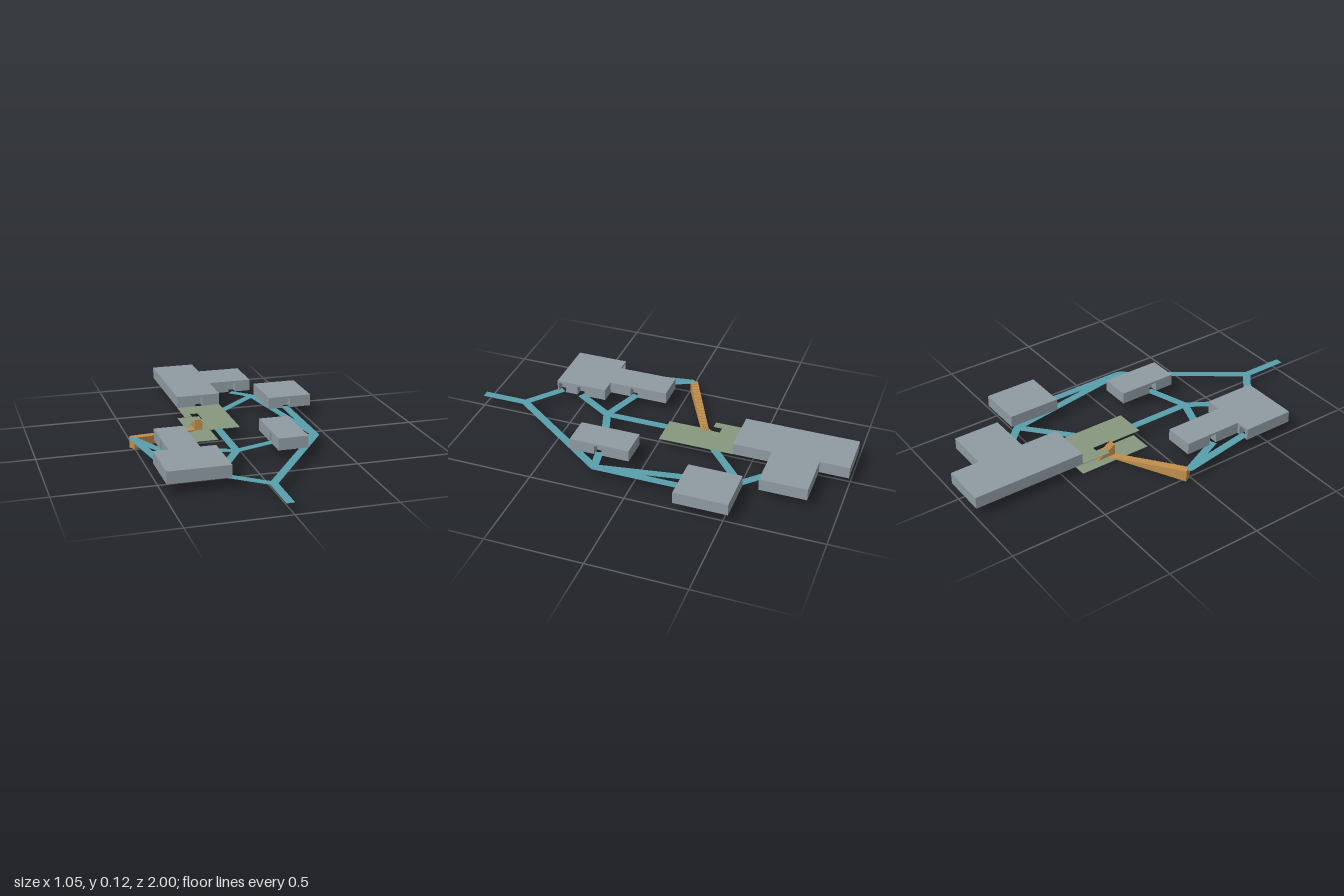
import * as THREE from 'three';

const LEVEL = 0.06, WALL = 0.05, ROOF = 0.012, PATH_W = 0.04, THIN = 0.002;

const mat = (name, color) => {
  const m = new THREE.MeshStandardMaterial({ color });
  m.name = name;
  return m;
};

// Extrudes a plan outline of [x, z] points upward from height y
function slab(points, y, height) {
  const shape = new THREE.Shape(points.map(([x, z]) => new THREE.Vector2(x, -z)));
  const geo = new THREE.ExtrudeGeometry(shape, { depth: height, bevelEnabled: false });
  return geo.rotateX(-Math.PI / 2).translate(0, y, 0);
}

const rect = (x0, x1, z0, z1) => [[x0, z1], [x1, z1], [x1, z0], [x0, z0]];

// Cuts a doorway recess into the outline wherever a door point lies on a wall
function withDoors(points, doors, width = 0.04, depth = 0.04) {
  const out = [];
  points.forEach(([ax, az], i) => {
    const [bx, bz] = points[(i + 1) % points.length];
    const len = Math.hypot(bx - ax, bz - az);
    const dx = (bx - ax) / len, dz = (bz - az) / len;
    out.push([ax, az]);
    doors
      .map(([x, z]) => ({
        t: (x - ax) * dx + (z - az) * dz,
        off: Math.abs((x - ax) * dz - (z - az) * dx),
      }))
      .filter(d => d.off < 0.001 && d.t > 0 && d.t < len)
      .sort((p, q) => p.t - q.t)
      .forEach(({ t }) => {
        const at = (s, d) => [ax + dx * s + dz * d, az + dz * s - dx * d];
        const a = t - width / 2, b = t + width / 2;
        out.push(at(a, 0), at(a, depth), at(b, depth), at(b, 0));
      });
  });
  return out;
}

// Solid staircase falling from the high end to the low end
function stairs([ax, az], [bx, bz], width, steps) {
  const len = Math.hypot(bx - ax, bz - az);
  const shape = new THREE.Shape();
  shape.moveTo(0, 0);
  for (let i = steps; i > 0; i--) {
    const y = LEVEL * i / steps;
    shape.lineTo(len * (steps - i) / steps, y);
    shape.lineTo(len * (steps - i + 1) / steps, y);
  }
  shape.lineTo(len, 0);
  return new THREE.ExtrudeGeometry(shape, { depth: width, bevelEnabled: false })
    .translate(0, 0, -width / 2)
    .rotateY(Math.atan2(az - bz, bx - ax))
    .translate(ax, 0, az);
}

export function createModel() {
  const grey = mat('building grey', 0x8f9ba2);
  const teal = mat('path teal', 0x58a0ad);
  const green = mat('terrace green', 0x87987f);
  const brown = mat('stair brown', 0xc18f4c);

  const model = new THREE.Group();
  model.name = 'campus';
  const add = (name, geo, material, parent = model) => {
    const mesh = new THREE.Mesh(geo, material);
    mesh.name = name;
    parent.add(mesh);
  };

  // Buildings: walls with door recesses under a flat roof
  const buildings = [
    ['backHall',
      [[-0.18, -0.41], [0.055, -0.41], [0.055, -0.61], [0.29, -0.61],
        [0.29, -0.85], [0.055, -0.85], [0.055, -1], [-0.18, -1]],
      [[-0.06, -0.41], [0.185, -0.61]]],
    ['sideHall', rect(0.29, 0.525, -0.53, -0.255), [[0.39, -0.255]]],
    ['smallHall', rect(0.135, 0.29, 0.055, 0.37), [[0.135, 0.245], [0.29, 0.22]]],
    ['frontHall',
      [[-0.49, 0.645], [-0.18, 0.645], [-0.18, 0.37], [-0.26, 0.37],
        [-0.26, 0.055], [-0.415, 0.055], [-0.415, 0.37], [-0.49, 0.37]],
      [[-0.18, 0.617], [-0.18, 0.51], [-0.26, 0.235], [-0.415, 0.21], [-0.45, 0.37]]],
  ];
  for (const [name, outline, doors] of buildings) {
    const hall = new THREE.Group();
    hall.name = name;
    add('walls', slab(withDoors(outline, doors), LEVEL, WALL), grey, hall);
    add('roof', slab(outline, LEVEL + WALL, ROOF), grey, hall);
    model.add(hall);
  }

  // Raised paths: flat strips between junctions
  const gate = [-0.02, 0.765], east = [0.388, 0.2], north = [0.27, -0.51];
  const hub = [-0.06, 0.31], west = [-0.51, -0.005];
  const paths = [
    [[-0.02, 1], gate], [gate, [-0.2, 0.62]], [gate, east],
    [east, [0.388, -0.28]], [east, north], [north, [0.175, -0.605]], [north, [0.04, -0.305]],
    [east, [0.265, 0.222]], [[0.16, 0.238], hub], [hub, [-0.06, -0.02]],
    [hub, [-0.285, 0.23]], [hub, [-0.185, 0.51]],
    [west, [-0.445, 0.395]], [west, [-0.405, 0.22]],
  ];
  const walkway = new THREE.Group();
  walkway.name = 'walkways';
  for (const [[ax, az], [bx, bz]] of paths) {
    const geo = new THREE.BoxGeometry(Math.hypot(bx - ax, bz - az), THIN, PATH_W)
      .rotateY(Math.atan2(az - bz, bx - ax))
      .translate((ax + bx) / 2, LEVEL - THIN / 2, (az + bz) / 2);
    add('path', geo, teal, walkway);
  }
  for (const [x, z] of [gate, east, north, hub, west]) {
    add('junction', new THREE.CylinderGeometry(0.02, 0.02, THIN, 12)
      .translate(x, LEVEL - THIN / 2, z), teal, walkway);
  }
  model.add(walkway);

  // Terraces: notched upper deck over a narrow lower deck
  add('upperTerrace', slab([
    [-0.11, -0.02], [0.055, -0.02], [0.055, -0.41], [-0.18, -0.41], [-0.18, -0.25],
    [-0.14, -0.25], [-0.14, -0.295], [-0.098, -0.295], [-0.098, -0.19], [-0.11, -0.19],
  ], LEVEL - THIN, THIN + 0.0005), green);
  add('lowerTerrace', slab(rect(-0.18, -0.06, -0.41, -0.02), 0, THIN), green);

  // Stairs down to the lower terrace
  add('longStair', stairs([-0.512, -0.02], [-0.13, -0.215], 0.04, 20), brown);
  add('shortStair', stairs([-0.119, -0.19], [-0.119, -0.295], 0.04, 12), brown);

  return model;
}
